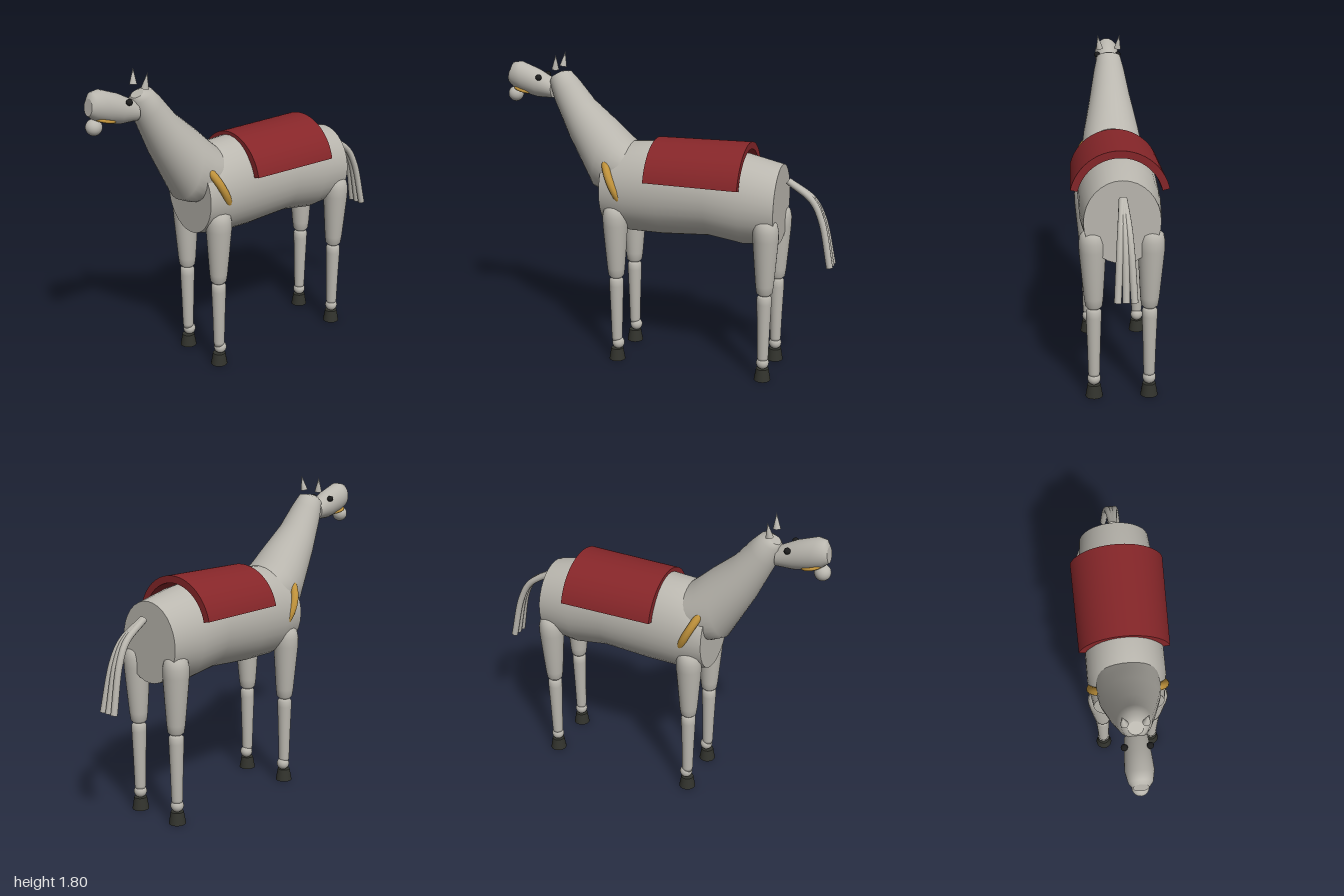
import * as THREE from 'three';
import { toCreasedNormals } from 'three/addons/utils/BufferGeometryUtils.js';

const mat = (name, color) => {
  const m = new THREE.MeshStandardMaterial({ color });
  m.name = name;
  return m;
};

// Skin elliptical sections [zTop, yTop, zBottom, yBottom, halfWidth], ordered back to front
function loft(sections, sides = 32) {
  const pos = [], index = [];
  const addRing = ([zt, yt, zb, yb, rx]) => {
    const start = pos.length / 3;
    for (let j = 0; j < sides; j++) {
      const a = (j / sides) * Math.PI * 2, c = Math.cos(a) / 2;
      pos.push(rx * Math.sin(a), (yt + yb) / 2 + (yt - yb) * c, (zt + zb) / 2 + (zt - zb) * c);
    }
    return start;
  };
  const rings = sections.map(addRing);
  for (let i = 0; i < rings.length - 1; i++) {
    for (let j = 0; j < sides; j++) {
      const k = (j + 1) % sides, a = rings[i], b = rings[i + 1];
      index.push(a + j, b + j, a + k, b + j, b + k, a + k);
    }
  }
  // flat caps with their own vertices
  [sections[0], sections[sections.length - 1]].forEach((s, end) => {
    const r = addRing(s), c = pos.length / 3;
    pos.push(0, (s[1] + s[3]) / 2, (s[0] + s[2]) / 2);
    for (let j = 0; j < sides; j++) {
      const k = (j + 1) % sides;
      if (end) index.push(c, r + k, r + j);
      else index.push(c, r + j, r + k);
    }
  });
  const g = new THREE.BufferGeometry();
  g.setAttribute('position', new THREE.Float32BufferAttribute(pos, 3));
  g.setIndex(index);
  g.computeVertexNormals();
  return g;
}

const lathe = (pts) => new THREE.LatheGeometry(pts.map(([r, y]) => new THREE.Vector2(r, y)), 24);

export function createModel() {
  const model = new THREE.Group();
  model.name = 'horse';
  const coat = mat('greyCoat', 0xbab7af);
  const red = mat('redCloth', 0x862629);
  const gold = mat('goldTrim', 0xc1933b);
  const hoofDark = mat('darkHoof', 0x32332d);
  const black = mat('blackEye', 0x1c1c1c);

  const add = (name, geo, material, x = 0, y = 0, z = 0, parent = model) => {
    const m = new THREE.Mesh(geo, material);
    m.name = name;
    m.position.set(x, y, z);
    parent.add(m);
    return m;
  };

  // Body, neck and head
  const body = [
    [-0.68, 1.245, 0.79, 0.205], [-0.48, 1.29, 0.77, 0.223], [-0.28, 1.315, 0.80, 0.225],
    [0, 1.33, 0.78, 0.225], [0.2, 1.315, 0.78, 0.225], [0.35, 1.26, 0.81, 0.2],
  ].map(([z, t, b, w]) => [z, t, z, b, w]);
  add('body', loft(body), coat);
  add('neck', loft([
    [0.2, 1.31, 0.2, 0.98, 0.172], [0.25, 1.355, 0.37, 1.0, 0.18], [0.33, 1.43, 0.44, 1.03, 0.168],
    [0.46, 1.54, 0.59, 1.31, 0.125], [0.55, 1.65, 0.69, 1.53, 0.092],
    [0.6, 1.70, 0.72, 1.63, 0.072], [0.65, 1.695, 0.71, 1.66, 0.04],
  ]), coat);
  add('head', loft([
    [0.7, 1.645, 0.7, 1.535, 0.06], [0.8, 1.70, 0.8, 1.535, 0.07], [0.91, 1.74, 0.87, 1.55, 0.075],
    [0.955, 1.732, 0.95, 1.58, 0.062], [0.972, 1.70, 0.985, 1.61, 0.04],
  ]), coat);
  add('muzzle', new THREE.SphereGeometry(0.045, 24, 16), coat, 0, 1.545, 0.95);

  // Eyes and ears
  for (const s of [1, -1]) {
    add('eye', new THREE.SphereGeometry(0.018, 16, 12), black, s * 0.065, 1.66, 0.77);
    const ear = add('ear', new THREE.ConeGeometry(0.021, 0.088, 16), coat, s * 0.061, 1.757, 0.66);
    ear.rotation.set(-0.12, 0, -s * 0.14);
  }

  // Bit and collar rings
  const bit = add('bit', new THREE.TorusGeometry(0.057, 0.009, 10, 32), gold, 0, 1.576, 0.89);
  bit.rotation.x = Math.PI / 2 - 0.25;
  const collar = add('collar', new THREE.TorusGeometry(0.21, 0.023, 14, 48), gold, 0, 1.08, 0.26);
  collar.rotation.x = 0.46;

  // Saddle cloth: an arch, slightly wider to the rear
  const a0 = 0.224, arch = new THREE.Shape();
  arch.absarc(0, 0, 0.27, a0, Math.PI - a0, false);
  arch.absarc(0, 0, 0.23, Math.PI - a0, a0, true);
  arch.closePath();
  const cloth = new THREE.ExtrudeGeometry(arch, { depth: 0.55, bevelEnabled: false, curveSegments: 24 });
  const p = cloth.attributes.position;
  for (let i = 0; i < p.count; i++) {
    const k = 1.02 - 0.04 * (p.getZ(i) / 0.55);
    p.setXY(i, p.getX(i) * k, p.getY(i) * k);
  }
  add('saddleCloth', toCreasedNormals(cloth, 0.6), red, 0, 1.08, -0.49);

  // Legs
  const upper = lathe([[0, 0.52], [0.033, 0.521], [0.046, 0.535], [0.052, 0.58], [0.06, 0.68],
    [0.073, 0.85], [0.073, 0.9], [0.064, 0.94], [0.045, 0.956], [0, 0.96]]);
  const lower = lathe([[0, 0.115], [0.028, 0.117], [0.032, 0.14], [0.036, 0.3], [0.042, 0.47],
    [0.042, 0.505], [0.03, 0.518], [0, 0.52]]);
  const fetlock = new THREE.SphereGeometry(0.037, 20, 14);
  const hoof = new THREE.CylinderGeometry(0.036, 0.048, 0.07, 24);
  for (const [name, z] of [['frontLeg', 0.265], ['rearLeg', -0.632]]) {
    for (const s of [1, -1]) {
      const leg = new THREE.Group();
      leg.name = name;
      leg.position.set(s * 0.152, 0, z);
      model.add(leg);
      const thigh = add('upperLeg', upper, coat, -s * 0.012, 0, 0, leg);
      thigh.rotation.z = -s * 0.02;
      add('lowerLeg', lower, coat, 0, 0, 0, leg);
      add('fetlock', fetlock, coat, 0, 0.105, z > 0 ? -0.008 : 0, leg);
      add('hoof', hoof, hoofDark, 0, 0.035, 0, leg);
    }
  }

  // Tail strands fanning out towards the tip
  const ends = new THREE.CircleGeometry(0.019, 12);
  for (const s of [-1, 0, 1]) {
    const path = new THREE.CatmullRomCurve3([[0.004, 1.155, -0.715], [0.018, 1.06, -0.855],
      [0.028, 0.95, -0.915], [0.043, 0.685, -0.975]].map(([x, y, z]) => new THREE.Vector3(s * x, y, z)));
    add('tailStrand', new THREE.TubeGeometry(path, 24, 0.019, 12), coat);
    for (const t of [0, 1]) {
      const pt = path.getPoint(t), dir = path.getTangent(t).multiplyScalar(t ? 1 : -1);
      add('tailEnd', ends, coat, pt.x, pt.y, pt.z).lookAt(pt.clone().add(dir));
    }
  }
  return model;
}
